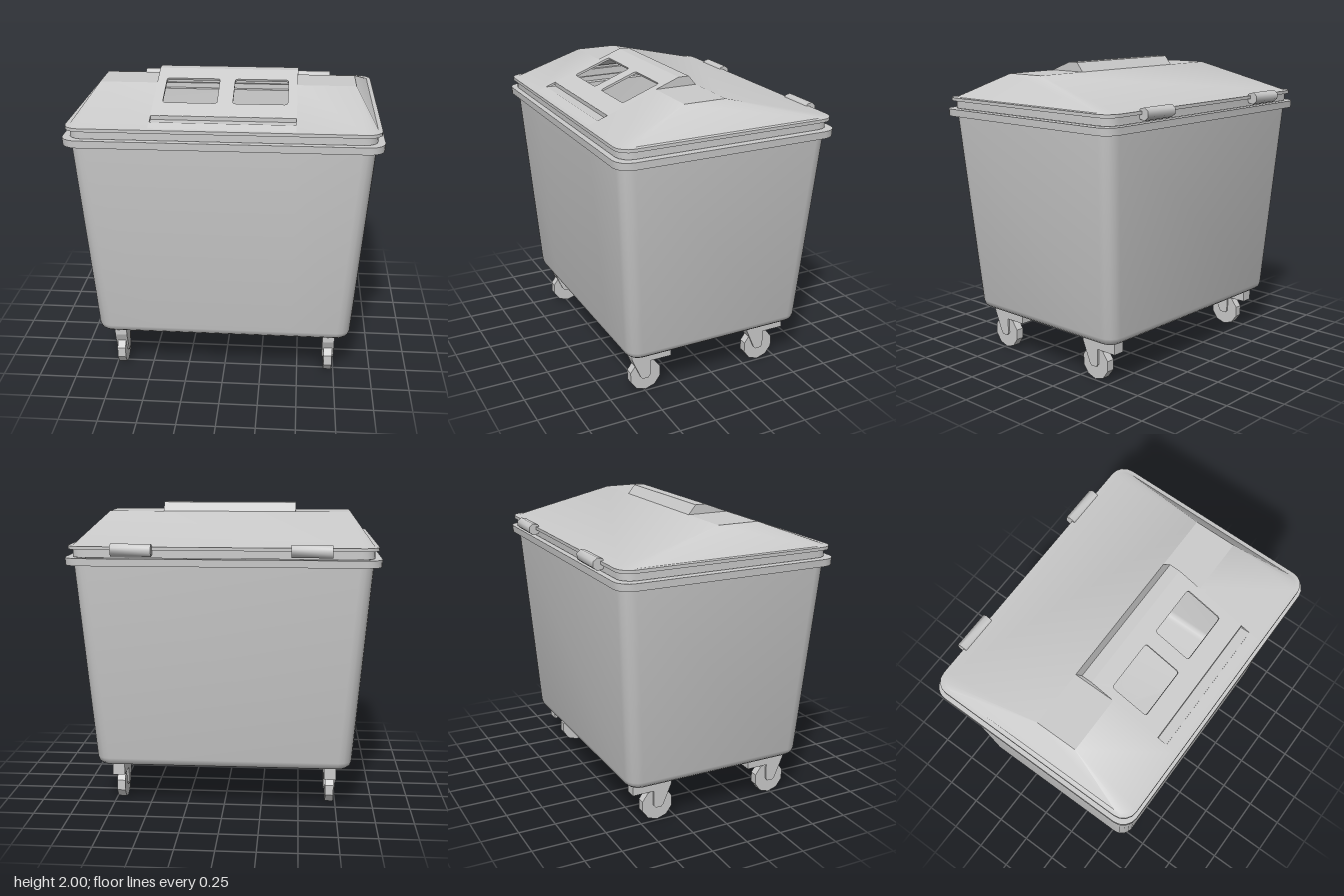
import * as THREE from 'three';
import { toCreasedNormals } from 'three/addons/utils/BufferGeometryUtils.js';

const MAT = new THREE.MeshStandardMaterial({ color: 0xcccccc, side: THREE.DoubleSide });
const HOOD = 0.455; // half width of the hood and hatch panel
const SEG = 4; // segments per rounded corner

// Rounded rectangle at height y; two extra points mark the hatch panel on the front edge
function ring([y, hx, zb, zf, r]) {
  const pts = [];
  const corners = [[hx - r, zf - r], [r - hx, zf - r], [r - hx, zb + r], [hx - r, zb + r]];
  corners.forEach(([cx, cz], k) => {
    for (let i = 0; i <= SEG; i++) {
      const a = (k + i / SEG) * Math.PI / 2;
      pts.push([cx + r * Math.cos(a), y, cz + r * Math.sin(a)]);
    }
    if (k === 0) {
      const m = Math.min(HOOD, hx - r);
      pts.push([m, y, zf], [-m, y, zf]);
    }
  });
  return pts;
}

// Skin a stack of rings; from layer openFrom upward the hatch panel is left out
function loft(sections, openFrom = Infinity) {
  const rings = sections.map(ring), pos = [], n = rings[0].length;
  for (let j = 0; j < rings.length - 1; j++) {
    for (let i = 0; i < n; i++) {
      if (j >= openFrom && i === SEG + 1) continue;
      const k = (i + 1) % n;
      const a = rings[j][i], b = rings[j + 1][i], c = rings[j + 1][k], d = rings[j][k];
      pos.push(...a, ...b, ...c, ...a, ...c, ...d);
    }
  }
  const g = new THREE.BufferGeometry();
  g.setAttribute('position', new THREE.Float32BufferAttribute(pos, 3));
  return toCreasedNormals(g, 0.75);
}

// Extrude a [z, y] outline along x, centred on x = 0
function extrudeX(points, width) {
  const shape = new THREE.Shape(points.map(p => new THREE.Vector2(...p)));
  return new THREE.ExtrudeGeometry(shape, { depth: width, bevelEnabled: false })
    .translate(0, 0, -width / 2).rotateY(-Math.PI / 2);
}

function roundedRect(x0, y0, x1, y1, r) {
  const p = new THREE.Path();
  p.moveTo(x0 + r, y0);
  p.lineTo(x1 - r, y0).quadraticCurveTo(x1, y0, x1, y0 + r);
  p.lineTo(x1, y1 - r).quadraticCurveTo(x1, y1, x1 - r, y1);
  p.lineTo(x0 + r, y1).quadraticCurveTo(x0, y1, x0, y1 - r);
  p.lineTo(x0, y0 + r).quadraticCurveTo(x0, y0, x0 + r, y0);
  return p;
}

export function createModel() {
  const model = new THREE.Group();
  const add = (name, geometry, x = 0, y = 0, z = 0, parent = model) => {
    const m = new THREE.Mesh(geometry, MAT);
    m.name = name;
    m.position.set(x, y, z);
    parent.add(m);
    return m;
  };

  // Tapered tub with rounded base and overhanging rim
  add('body', loft([
    [0.29, 0.01, 0.0, 0.03, 0.005],
    [0.29, 0.79, -0.56, 0.59, 0.05],
    [0.298, 0.82, -0.59, 0.62, 0.07],
    [0.315, 0.84, -0.61, 0.64, 0.085],
    [0.345, 0.85, -0.618, 0.648, 0.09],
    [1.645, 0.95, -0.70, 0.73, 0.09],
  ]));
  add('rim', loft([
    [1.645, 0.95, -0.70, 0.73, 0.09],
    [1.645, 0.998, -0.738, 0.768, 0.1],
    [1.692, 1.0, -0.74, 0.77, 0.1],
    [1.692, 0.945, -0.695, 0.725, 0.09],
  ]));

  // Lid with skirt, lip and sloping sides
  const zFront = 0.725, yFront = 1.768, zRidge = 0.27, yRidge = 1.94;
  add('lid', loft([
    [1.695, 0.955, -0.705, 0.735, 0.09],
    [1.745, 0.955, -0.705, 0.735, 0.09],
    [1.745, 0.98, -0.725, 0.755, 0.095],
    [1.766, 0.98, -0.725, 0.755, 0.095],
    [yFront, 0.952, -0.695, zFront, 0.08],
    [yRidge, 0.83, -0.01, zRidge, 0],
  ], 4));
  for (const s of [-1, 1]) {
    const w = 0.83 - HOOD;
    add('lidRidge', new THREE.PlaneGeometry(w, 0.28).rotateX(-Math.PI / 2),
      s * (HOOD + w / 2), yRidge, 0.13);
  }

  // Sloping hatch panel with two openings and a grip recess
  const run = zFront - zRidge, rise = yRidge - yFront;
  const up = z => (zFront - z) * Math.hypot(run, rise) / run;
  const zTop = zFront - (2 - yFront) * run / rise;
  const panel = new THREE.Shape([[-HOOD, 0], [HOOD, 0], [HOOD, up(zTop)], [-HOOD, up(zTop)]]
    .map(p => new THREE.Vector2(...p)));
  for (const x of [-0.395, 0.05]) {
    panel.holes.push(roundedRect(x, up(0.47), x + 0.345, up(0.22), 0.02));
  }
  panel.holes.push(roundedRect(-0.452, up(0.665), 0.452, up(0.6), 0.001));
  add('hatchPanel', new THREE.ExtrudeGeometry(panel, { depth: 0.015, bevelEnabled: false, curveSegments: 4 })
    .translate(0, 0, -0.015).rotateX(-Math.atan2(run, rise)), 0, yFront, zFront);
  add('gripRecess', extrudeX([[0.665, 1.789], [0.6, 1.789], [0.6, 1.814], [0.59, 1.814],
    [0.59, 1.779], [0.665, 1.779]], 0.904));

  // Raised hood behind the openings
  add('hoodRoof', extrudeX([[zTop, 2], [0.04, 2], [-0.01, yRidge], [0.01, yRidge],
    [0.05, 1.985], [zTop, 1.985]], 2 * HOOD));
  for (const s of [-1, 1]) {
    add('hoodEnd', extrudeX([[zRidge, yRidge], [zTop, 2], [0.04, 2], [-0.01, yRidge]], 0.01),
      s * (HOOD - 0.005));
  }

  // Hinge barrels at the back
  for (const s of [-1, 1]) {
    const g = new THREE.CylinderGeometry(0.041, 0.041, 0.255, 7).rotateZ(Math.PI / 2);
    add('hinge', toCreasedNormals(g, 1), s * 0.562, 1.748, -0.736);
  }

  // Four casters, all trailing the same way
  const bracket = extrudeX([[0.1, 0.295], [-0.18, 0.295], [-0.18, 0.21], [-0.03, 0.21],
    [-0.03, 0.105], [-0.015, 0.087], [0.025, 0.087], [0.04, 0.105], [0.1, 0.245]], 0.08);
  const wheel = toCreasedNormals(new THREE.CylinderGeometry(0.112, 0.112, 0.055, 10, 1, false, Math.PI / 10)
    .rotateZ(Math.PI / 2), 0.3);
  for (const x of [-0.708, 0.708]) {
    for (const z of [0.49, -0.375]) {
      const caster = new THREE.Group();
      caster.name = 'caster';
      caster.position.set(x, 0, z);
      add('casterBracket', bracket, 0, 0, 0, caster);
      add('casterWheel', wheel, 0, 0.108, 0, caster);
      model.add(caster);
    }
  }
  return model;
}
